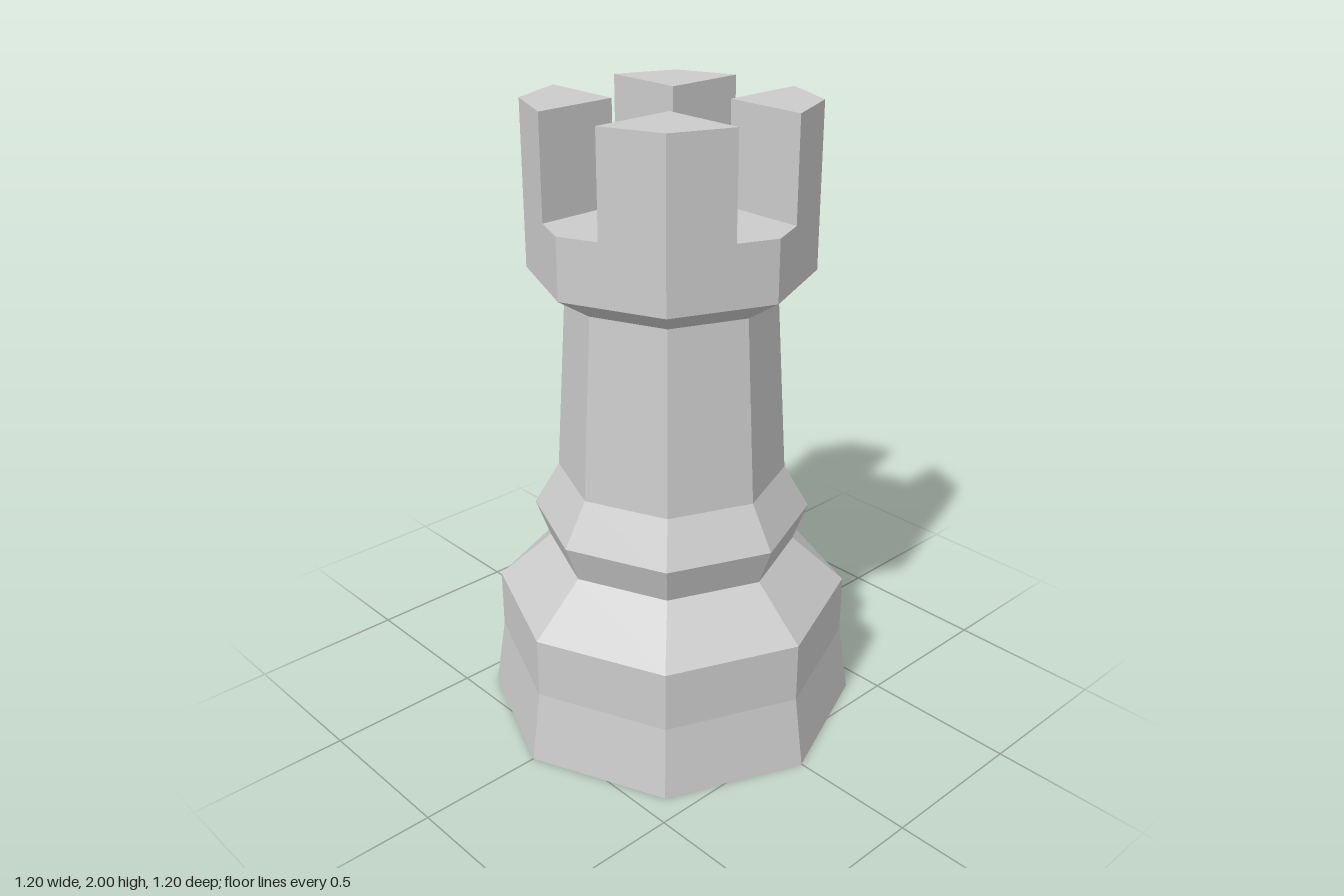
import * as THREE from 'three';

const SIDES = 8;
const RIM = 0.435;    // corner radius of the octagonal crown
const DECK = 1.685;   // height of the floor between the battlements
const TOP = 2;
const GAP = 0.12;     // half the width of the crossing slots

const material = new THREE.MeshStandardMaterial({ color: 0xcccccc, flatShading: true });

// Octagonal turned section from [radius, height] pairs, bottom to top
function turned(name, profile) {
  const points = profile.map(([r, y]) => new THREE.Vector2(r, y));
  const mesh = new THREE.Mesh(new THREE.LatheGeometry(points, SIDES), material);
  mesh.name = name;
  return mesh;
}

// One battlement: the quarter of the octagon left between two slots
function battlementGeometry() {
  const c = RIM * Math.SQRT1_2;
  const reach = RIM - GAP * (RIM - c) / c;
  const shape = new THREE.Shape([
    new THREE.Vector2(GAP, GAP),
    new THREE.Vector2(reach, GAP),
    new THREE.Vector2(c, c),
    new THREE.Vector2(GAP, reach),
  ]);
  const geometry = new THREE.ExtrudeGeometry(shape, { depth: TOP - DECK, bevelEnabled: false });
  return geometry.rotateX(-Math.PI / 2).translate(0, DECK, 0);
}

export function createModel() {
  const rook = new THREE.Group();
  rook.name = 'rook';

  // Stacked body sections
  rook.add(
    turned('base', [[0, 0], [0.6, 0], [0.565, 0.23], [0.565, 0.425], [0.395, 0.578]]),
    turned('collar', [[0.395, 0.578], [0.44, 0.7], [0.36, 0.838]]),
    turned('shaft', [[0.36, 0.838], [0.323, 1.423]]),
    turned('crown', [[0.323, 1.423], [RIM, 1.495], [RIM, DECK], [0, DECK]]),
  );

  // Four corner battlements
  const geometry = battlementGeometry();
  for (let i = 0; i < 4; i++) {
    const battlement = new THREE.Mesh(geometry, material);
    battlement.name = `battlement${i + 1}`;
    battlement.rotation.y = i * Math.PI / 2;
    rook.add(battlement);
  }
  return rook;
}
